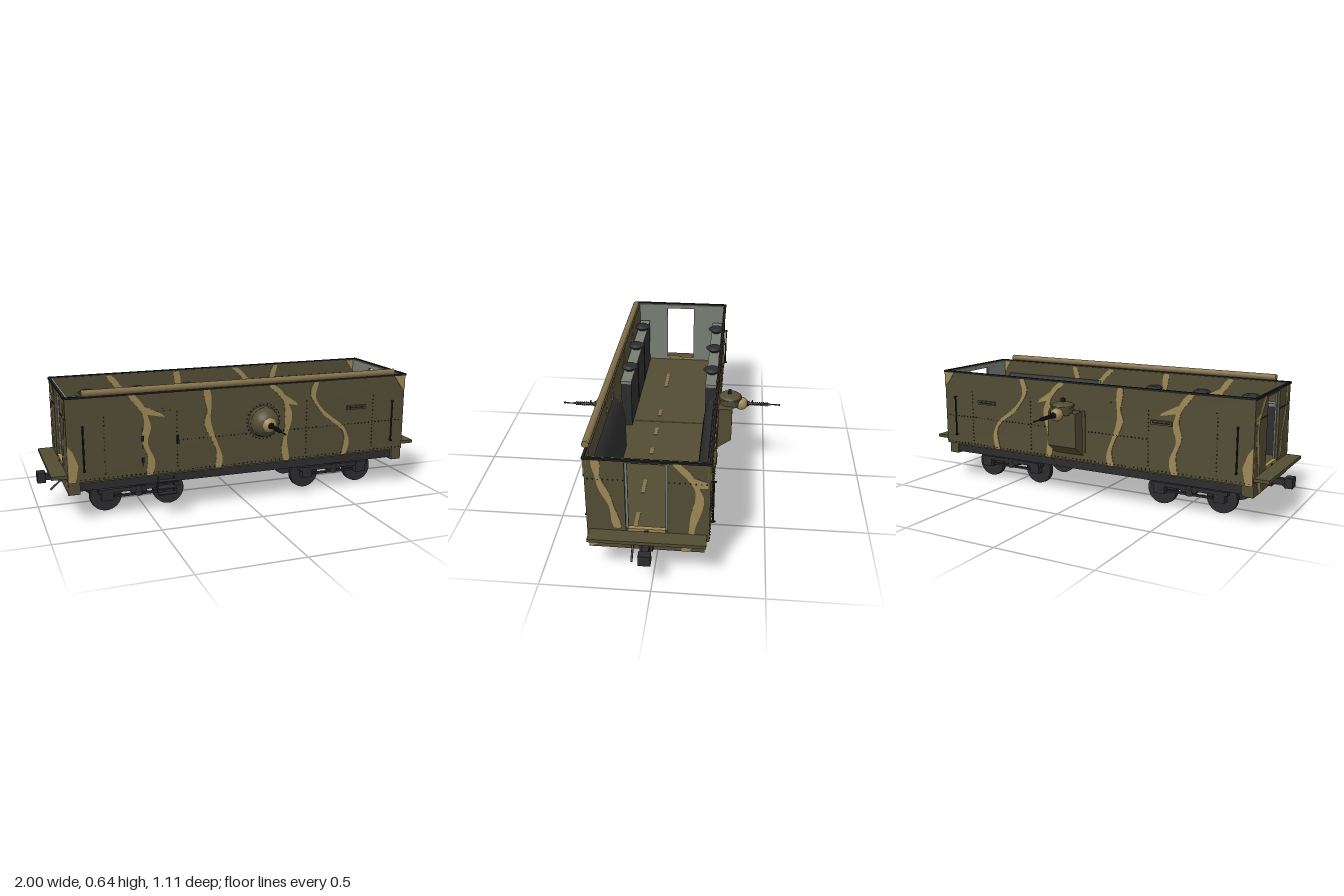
import * as THREE from 'three';
import { mergeGeometries } from 'three/addons/utils/BufferGeometryUtils.js';

const mat = (name, color) => {
  const m = new THREE.MeshStandardMaterial({ color });
  m.name = name;
  return m;
};

export function createModel() {
  const root = new THREE.Group();
  root.name = 'armouredWagon';
  const olive = mat('olive', 0x524c34);
  const tan = mat('camouflageTan', 0x9c8856);
  const dark = mat('darkSteel', 0x2c2c2e);
  const black = mat('blackSteel', 0x1d1d1e);
  const grey = mat('interiorGrey', 0x777d73);
  const canvas = mat('canvas', 0x83704a);
  const ZC = 0.03; // centre line of the running gear

  const add = (name, geo, m, x = 0, y = 0, z = 0, parent = root) => {
    const mesh = new THREE.Mesh(geo, m);
    mesh.name = name;
    mesh.position.set(x, y, z);
    parent.add(mesh);
    return mesh;
  };
  // box from its limits on each axis
  const box = (name, m, x0, x1, y0, y1, z0, z1, parent) =>
    add(name, new THREE.BoxGeometry(x1 - x0, y1 - y0, z1 - z0), m,
      (x0 + x1) / 2, (y0 + y1) / 2, (z0 + z1) / 2, parent);
  const cyl = (name, m, r0, r1, len, axis, x, y, z, parent, sides = 20) => {
    const g = new THREE.CylinderGeometry(r0, r1, len, sides);
    if (axis === 'x') g.rotateZ(-Math.PI / 2);
    if (axis === 'z') g.rotateX(Math.PI / 2);
    return add(name, g, m, x, y, z, parent);
  };
  const poly = pts => new THREE.Shape(pts.map(p => new THREE.Vector2(...p)));
  const extrude = (shape, depth) => new THREE.ExtrudeGeometry(shape, { depth, bevelEnabled: false });
  // extrusion whose shape lies in the z-y plane, running from x0 to x1
  const extrudeX = (name, shape, m, x0, x1) =>
    add(name, extrude(shape, x1 - x0).rotateY(-Math.PI / 2), m, x1);

  // side walls, floor and rim
  box('frontWall', olive, -0.885, 0.885, 0.2, 0.6, 0.278, 0.29);
  box('backWall', olive, -0.885, 0.885, 0.2, 0.6, -0.245, -0.233);
  box('floor', olive, -0.96, 0.96, 0.22, 0.236, -0.235, 0.28);
  box('underfloor', olive, -0.83, 0.83, 0.19, 0.22, -0.23, 0.278);
  box('floorSeam', canvas, -0.074, -0.069, 0.236, 0.24, -0.17, 0.21);
  for (const [x0, x1] of [[-0.65, -0.48], [-0.2, -0.13], [0, 0.07], [0.2, 0.26], [0.49, 0.6], [0.75, 0.86]])
    box('floorPaint', canvas, x0, x1, 0.236, 0.239, 0.072, 0.09);
  for (const z of [-0.243, 0.29]) box('sideRim', black, -0.89, 0.89, 0.596, 0.606, z - 0.006, z + 0.006);

  // end walls with doorways and grey lining
  const endShape = inset => {
    const s = poly([[-0.233, 0.2], [0.278, 0.2], [0.278, 0.6], [-0.233, 0.6]]);
    const a = -0.064 + inset, b = 0.119 - inset;
    s.holes.push(new THREE.Path([[a, 0.24], [a, 0.588 - inset], [b, 0.588 - inset], [b, 0.24]]
      .map(p => new THREE.Vector2(...p))));
    return s;
  };
  for (const s of [-1, 1]) {
    const span = (a, b) => s > 0 ? [a, b] : [-b, -a];
    extrudeX('endWall', endShape(0), olive, ...span(0.873, 0.885));
    extrudeX('endLining', endShape(0.011), grey, ...span(0.865, 0.873));
    box('endRim', black, ...span(0.879, 0.89), 0.596, 0.606, -0.249, 0.296);
    box('endBeam', olive, ...span(0.83, 0.885), 0.14, 0.2, -0.225, 0.285);
    box('threshold', tan, ...span(0.866, 0.886), 0.236, 0.25, -0.055, 0.11);
    box('thresholdHinge', black, ...span(0.88, 0.888), 0.236, 0.244, 0.02, 0.04);
    box('couplerMount', dark, ...span(0.885, 0.9), 0.14, 0.195, 0, 0.06);
    box('couplerBar', dark, ...span(0.89, 0.98), 0.15, 0.18, 0.015, 0.045);
    box('couplerHead', dark, ...span(0.96, 1), 0.14, 0.19, 0, 0.055);
    const hose = cyl('brakeHose', dark, 0.005, 0.005, 0.08, 'y', s * 0.915, 0.14, 0.09, root, 8);
    hose.rotation.z = s * 0.85;
    for (const z of [0.301, -0.256]) {
      cyl('grabRail', black, 0.004, 0.004, 0.22, 'y', s * 0.81, 0.36, z, root, 8);
      for (const y of [0.255, 0.465])
        box('railFoot', black, s * 0.81 - 0.003, s * 0.81 + 0.003, y - 0.003, y + 0.003, z - 0.011, z + 0.011);
    }
  }

  // camouflage bands: points are [position, height], bands stay level at both ends
  const band = (pts, w) => {
    const c = new THREE.SplineCurve(pts.map(p => new THREE.Vector2(...p))).getPoints(20);
    const wide = (i) => w * (0.5 + 0.14 * Math.sin(i * 0.8));
    return poly([...c.map((p, i) => [p.x - wide(i), p.y]), ...c.map((p, i) => [p.x + wide(i), p.y]).reverse()]);
  };
  const sideBands = [
    band([[-0.58, 0.596], [-0.53, 0.53], [-0.505, 0.45], [-0.52, 0.37], [-0.49, 0.28], [-0.5, 0.2]], 0.03),
    poly([[-0.57, 0.56], [-0.52, 0.5], [-0.42, 0.48], [-0.43, 0.494], [-0.5, 0.53]]),
    band([[-0.21, 0.596], [-0.2, 0.5], [-0.205, 0.42], [-0.15, 0.28], [-0.155, 0.2]], 0.028),
    band([[0.125, 0.596], [0.19, 0.53], [0.22, 0.43], [0.2, 0.3], [0.21, 0.2]], 0.03),
    poly([[0.15, 0.56], [0.2, 0.5], [0.27, 0.482], [0.26, 0.5], [0.2, 0.54]]),
    band([[0.37, 0.596], [0.355, 0.52], [0.42, 0.43], [0.52, 0.35], [0.55, 0.28], [0.535, 0.2]], 0.026),
    poly([[-0.885, 0.38], [-0.86, 0.35], [-0.835, 0.28], [-0.85, 0.2], [-0.885, 0.2]]),
    poly([[0.82, 0.596], [0.86, 0.54], [0.885, 0.52], [0.885, 0.596]]),
  ];
  for (const shape of sideBands)
    for (const z of [0.2895, 0.276, -0.248, -0.235]) add('sideCamouflage', extrude(shape, 0.004), tan, 0, 0, z);
  const endBands = [
    band([[0.24, 0.596], [0.23, 0.5], [0.18, 0.37], [0.155, 0.25]], 0.03),
    band([[-0.1, 0.596], [-0.165, 0.52], [-0.2, 0.43], [-0.175, 0.3], [-0.16, 0.2], [-0.14, 0.14]], 0.034),
    poly([[-0.14, 0.54], [-0.18, 0.48], [-0.235, 0.48], [-0.235, 0.51]]),
    poly([[0.28, 0.14], [0.24, 0.16], [0.18, 0.2], [0.27, 0.2], [0.283, 0.17]]),
  ];
  for (const shape of endBands)
    for (const x of [-0.887, 0.884]) extrudeX('endCamouflage', shape, tan, x, x + 0.003);

  // rivet rows
  const rivets = [];
  const rivetRow = (a, b, n) => {
    for (let i = 0; i <= n; i++) {
      const p = new THREE.Vector3(...a).lerp(new THREE.Vector3(...b), i / n);
      rivets.push(new THREE.BoxGeometry(0.005, 0.005, 0.005).translate(p.x, p.y, p.z));
    }
  };
  for (const z of [0.291, -0.246]) {
    for (const x of [-0.71, -0.36, 0.32, 0.7]) rivetRow([x, 0.23, z], [x, 0.5, z], 14);
    rivetRow([-0.35, 0.36, z], [0.86, 0.36, z], 60);
    rivetRow([-0.87, 0.21, z], [0.87, 0.21, z], 80);
  }
  for (const x of [-0.886, 0.886]) {
    rivetRow([x, 0.5, -0.23], [x, 0.5, -0.07], 7);
    rivetRow([x, 0.5, 0.125], [x, 0.5, 0.275], 7);
    rivetRow([x, 0.215, -0.23], [x, 0.215, 0.275], 30);
  }
  for (let i = 0; i < 28; i++) {
    const a = i / 28 * Math.PI * 2;
    rivetRow([0.085 + 0.088 * Math.cos(a), 0.415 + 0.088 * Math.sin(a), 0.292], [0.085, 0.415, 0.295], 1);
  }
  add('rivets', mergeGeometries(rivets), black);

  // rolled canvas, front door, vision slits
  cyl('rolledCanvas', canvas, 0.016, 0.016, 1.62, 'x', 0, 0.62, 0.294);
  box('frontDoor', olive, -0.53, -0.37, 0.23, 0.51, 0.288, 0.2925);
  for (const y of [0.28, 0.385]) box('doorHinge', black, -0.535, -0.525, y - 0.012, y + 0.012, 0.29, 0.302);
  box('doorHandle', black, -0.365, -0.355, 0.345, 0.385, 0.292, 0.306);
  for (const [x, z] of [[0.6, 0.293], [0.6, -0.25], [-0.43, -0.25]]) {
    box('visionSlit', olive, x - 0.055, x + 0.055, 0.438, 0.458, z - 0.008, z + 0.008);
    box('slitOpening', black, x - 0.045, x + 0.045, 0.444, 0.452, z - 0.01, z + 0.01);
  }

  // inside: cabinets with vents, and curved lockers along both walls
  for (const s of [-1, 1]) {
    const wall = s > 0 ? 0.27 : -0.226, inner = wall - s * 0.053;
    const [z0, z1] = [Math.min(wall, inner), Math.max(wall, inner)];
    box('cabinet', dark, -0.84, -0.02, 0.236, 0.485, z0, z1);
    box('cabinetTop', grey, -0.843, -0.015, 0.485, 0.5, z0 - 0.002, z1 + 0.002);
    for (const x of [-0.56, -0.29])
      box('cabinetJoint', black, x - 0.003, x + 0.003, 0.24, 0.48, z0 - 0.003, z1 + 0.003);
    for (const x of [-0.7, -0.43, -0.155]) {
      const z = (z0 + z1) / 2;
      cyl('ventBowl', dark, 0.047, 0.022, 0.022, 'y', x, 0.511, z);
      cyl('ventCap', dark, 0.032, 0.047, 0.01, 'y', x, 0.527, z);
    }
    const p = new THREE.Shape();
    p.moveTo(wall, 0.24);
    p.lineTo(wall, 0.53);
    p.quadraticCurveTo(inner, 0.5, inner, 0.36);
    p.lineTo(inner, 0.24);
    extrudeX('curvedLocker', p, dark, 0.2, 0.82);
    extrudeX('lockerEnd', p, grey, 0.192, 0.2);
  }

  // machine gun pointing along +z from its ball mount
  const gun = (name, y, z, r, length, flip) => {
    const g = new THREE.Group();
    g.name = name;
    g.position.set(0.085, y, z);
    if (flip) g.rotation.y = Math.PI;
    root.add(g);
    add('gunBall', new THREE.SphereGeometry(r, 24, 16), tan, 0, 0, 0, g);
    cyl('gunCollar', black, 0.013, 0.016, 0.012, 'z', 0, 0, r, g, 16);
    cyl('gunJacket', black, 0.006, 0.006, 0.13, 'z', 0, 0, r + 0.05, g, 12);
    for (let i = 0; i < 10; i++)
      cyl('coolingRing', black, 0.01, 0.01, 0.005, 'z', 0, 0, r + 0.008 + i * 0.01, g, 12);
    const from = r + 0.1;
    cyl('gunBarrel', black, 0.003, 0.003, length - from, 'z', 0, 0, (from + length) / 2, g, 8);
    cyl('muzzle', black, 0.005, 0.005, 0.008, 'z', 0, 0, length - 0.004, g, 8);
    box('gunSight', black, -0.002, 0.002, 0, 0.02, r + 0.02, r + 0.026, g);
  };
  const dome = r => new THREE.SphereGeometry(r, 32, 12, 0, Math.PI * 2, 0, Math.PI / 2);

  // front gun mount
  cyl('frontMountPlate', olive, 0.074, 0.08, 0.016, 'z', 0.085, 0.415, 0.296, root, 32);
  add('frontMountDome', dome(0.073).rotateX(Math.PI / 2), olive, 0.085, 0.415, 0.304);
  gun('frontGun', 0.414, 0.352, 0.039, 0.203, false);

  // back sponson with small turret
  extrudeX('sponson', poly([[-0.24, 0.23], [-0.24, 0.46], [-0.317, 0.46], [-0.317, 0.285]]), olive, 0.005, 0.165);
  box('sponsonPlate', olive, -0.01, 0.18, 0.25, 0.465, -0.25, -0.24);
  cyl('turretDrum', olive, 0.054, 0.05, 0.04, 'y', 0.085, 0.47, -0.303, root, 28);
  cyl('turretRim', olive, 0.059, 0.059, 0.008, 'y', 0.085, 0.491, -0.303, root, 28);
  add('turretDome', dome(0.056).scale(1, 0.33, 1), olive, 0.085, 0.494, -0.303);
  box('turretHatch', black, 0.075, 0.095, 0.51, 0.53, -0.308, -0.292);
  gun('backGun', 0.457, -0.36, 0.033, 0.195, true);

  // underframe
  for (const z of [-0.2, 0.25]) box('sideSill', dark, -0.83, 0.83, 0.15, 0.2, z - 0.02, z + 0.02);
  for (const z of [-0.02, 0.07]) box('centreSill', dark, -0.83, 0.83, 0.14, 0.19, z - 0.012, z + 0.012);
  for (const x of [-0.53, -0.15, 0.15, 0.53]) box('crossBeam', dark, x - 0.02, x + 0.02, 0.155, 0.19, -0.2, 0.25);
  cyl('frontAirTank', dark, 0.033, 0.033, 0.155, 'x', -0.22, 0.133, 0.11);
  cyl('backAirTank', dark, 0.033, 0.033, 0.24, 'x', 0.3, 0.133, -0.05);

  // side step
  for (const [y, z] of [[0.11, 0.31], [0.138, 0.29], [0.172, 0.31]])
    box('stepTread', dark, -0.47, -0.38, y, y + 0.006, z, 0.345);
  for (const x of [-0.465, -0.385]) box('stepHanger', dark, x - 0.004, x + 0.004, 0.11, 0.19, 0.305, 0.311);

  // bogies
  for (const s of [-1, 1]) {
    const bogie = new THREE.Group();
    bogie.name = 'bogie';
    bogie.position.set(s * 0.532, 0, ZC);
    root.add(bogie);
    box('bolster', dark, -0.04, 0.04, 0.09, 0.155, -0.17, 0.17, bogie);
    for (const side of [-1, 1]) {
      const zf = side * 0.16;
      box('bogieFrame', dark, -0.2, 0.2, 0.102, 0.122, zf - 0.015, zf + 0.015, bogie);
      box('tieBar', dark, -0.12, 0.12, 0.075, 0.085, zf - 0.008, zf + 0.008, bogie);
      cyl('spring', dark, 0.02, 0.02, 0.05, 'y', 0, 0.1, zf, bogie, 12);
      for (const x of [-0.158, 0.158]) {
        box('axleBox', dark, x - 0.028, x + 0.028, 0.065, 0.122, zf - 0.018, zf + 0.018, bogie);
        cyl('wheel', dark, 0.078, 0.078, 0.02, 'z', x, 0.08, side * 0.125, bogie, 32);
        cyl('wheelFlange', dark, 0.08, 0.08, 0.006, 'z', x, 0.08, side * 0.114, bogie, 32);
      }
    }
    for (const x of [-0.158, 0.158]) cyl('axle', dark, 0.012, 0.012, 0.3, 'z', x, 0.08, 0, bogie, 12);
  }
  return root;
}
